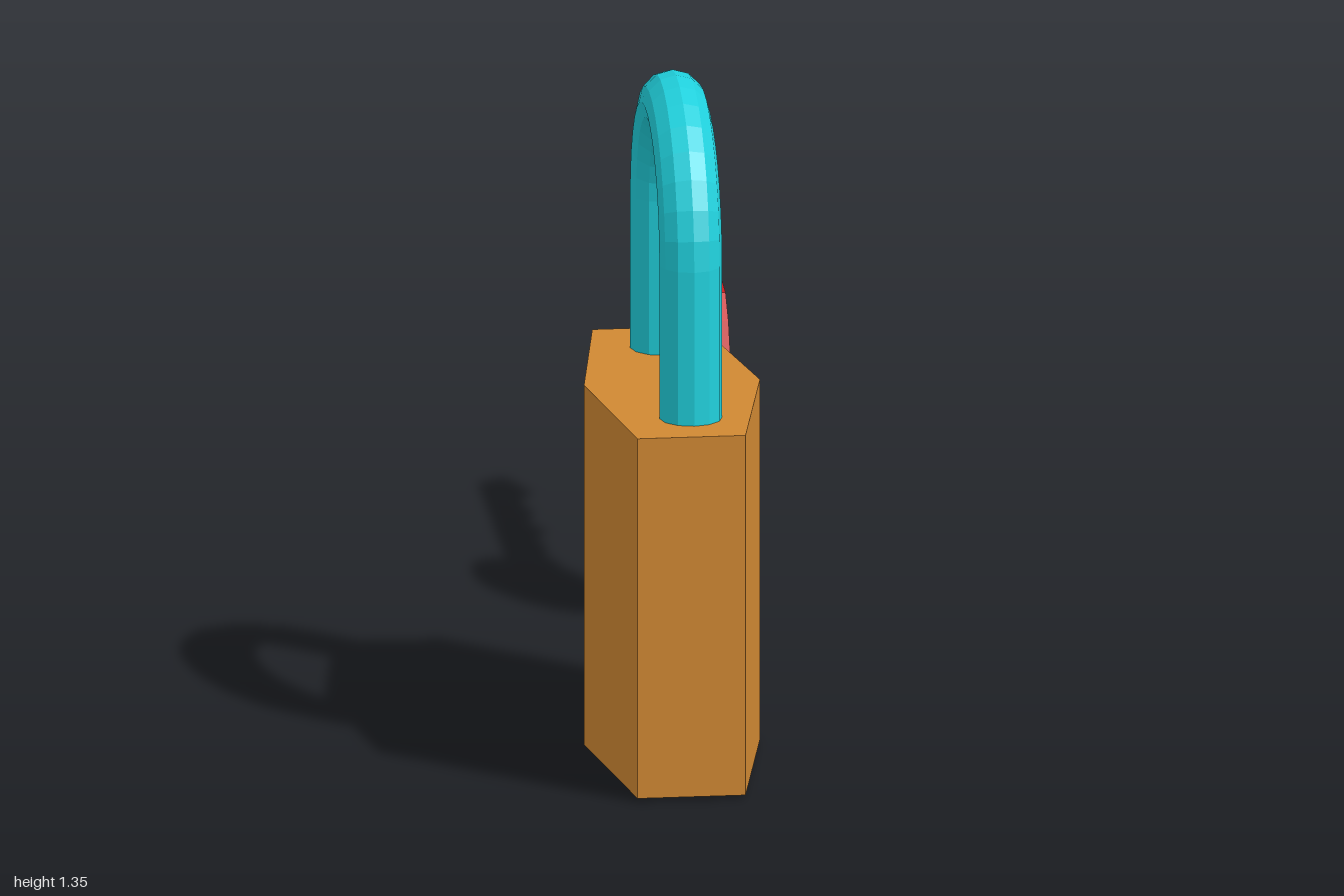
import * as THREE from 'three';

const paint = (color) => new THREE.MeshStandardMaterial({ color, flatShading: true });

function part(name, geometry, material, x = 0, y = 0, z = 0) {
  const mesh = new THREE.Mesh(geometry, material);
  mesh.name = name;
  mesh.position.set(x, y, z);
  return mesh;
}

const outline = (points) => new THREE.Shape(points.map(([x, y]) => new THREE.Vector2(x, y)));

export function createModel() {
  const model = new THREE.Group();
  model.name = 'padlockAndKey';
  const brass = paint(0xd08833), teal = paint(0x20d0dc), red = paint(0xcc1c1e), green = paint(0x50d024);
  const midZ = 0.617, bottom = 0.007, top = 0.73;

  // Six-sided body, drawn in plan as (x, -z) and extruded upwards
  const plan = outline([
    [-0.125, -1], [0.085, -1], [0.157, -midZ], [0.085, -0.235], [-0.125, -0.235], [-0.185, -midZ],
  ]);
  const body = new THREE.ExtrudeGeometry(plan, { depth: top - bottom, bevelEnabled: false });
  body.rotateX(-Math.PI / 2);
  model.add(part('body', body, brass, 0, bottom, 0));

  // Shackle: half ring on two straight legs
  const shackle = new THREE.Group();
  shackle.name = 'shackle';
  const bendRadius = 0.248, rod = 0.061, bendY = 1.038, legBottom = top - 0.01;
  const bend = new THREE.TorusGeometry(bendRadius, rod, 12, 16, Math.PI);
  bend.rotateY(Math.PI / 2);
  shackle.add(part('shackleBend', bend, teal, 0, bendY, 0));
  for (const side of [-1, 1]) {
    const leg = new THREE.CylinderGeometry(rod, rod, bendY - legBottom, 12);
    shackle.add(part('shackleLeg', leg, teal, 0, (bendY + legBottom) / 2, side * bendRadius));
  }
  shackle.position.set(-0.006, 0, midZ);
  model.add(shackle);

  // Round keyhole plate under the body
  model.add(part('keyholePlate', new THREE.CylinderGeometry(0.12, 0.12, 0.01, 24), green, -0.015, 0.005, midZ));

  // Flat key, drawn as (-z, y): shaft top, tip, teeth, then round bow
  const profile = outline([
    [0.402, 0.561], [0.932, 0.551], [1, 0.481], [0.922, 0.417], [0.847, 0.471], [0.766, 0.439],
    [0.7, 0.471], [0.643, 0.422], [0.595, 0.465], [0.514, 0.439], [0.47, 0.47], [0.44, 0.43],
    [0.402, 0.422], [0.365, 0.37], [0.305, 0.316], [0.25, 0.304], [0.193, 0.31], [0.13, 0.353],
    [0.092, 0.417], [0.084, 0.481], [0.096, 0.556], [0.134, 0.631], [0.182, 0.674], [0.25, 0.682],
    [0.318, 0.668], [0.365, 0.62],
  ]);
  const key = new THREE.ExtrudeGeometry(profile, { depth: 0.015, bevelEnabled: false });
  key.rotateY(Math.PI / 2);
  model.add(part('key', key, red, 0.167, 0, 0));

  return model;
}
